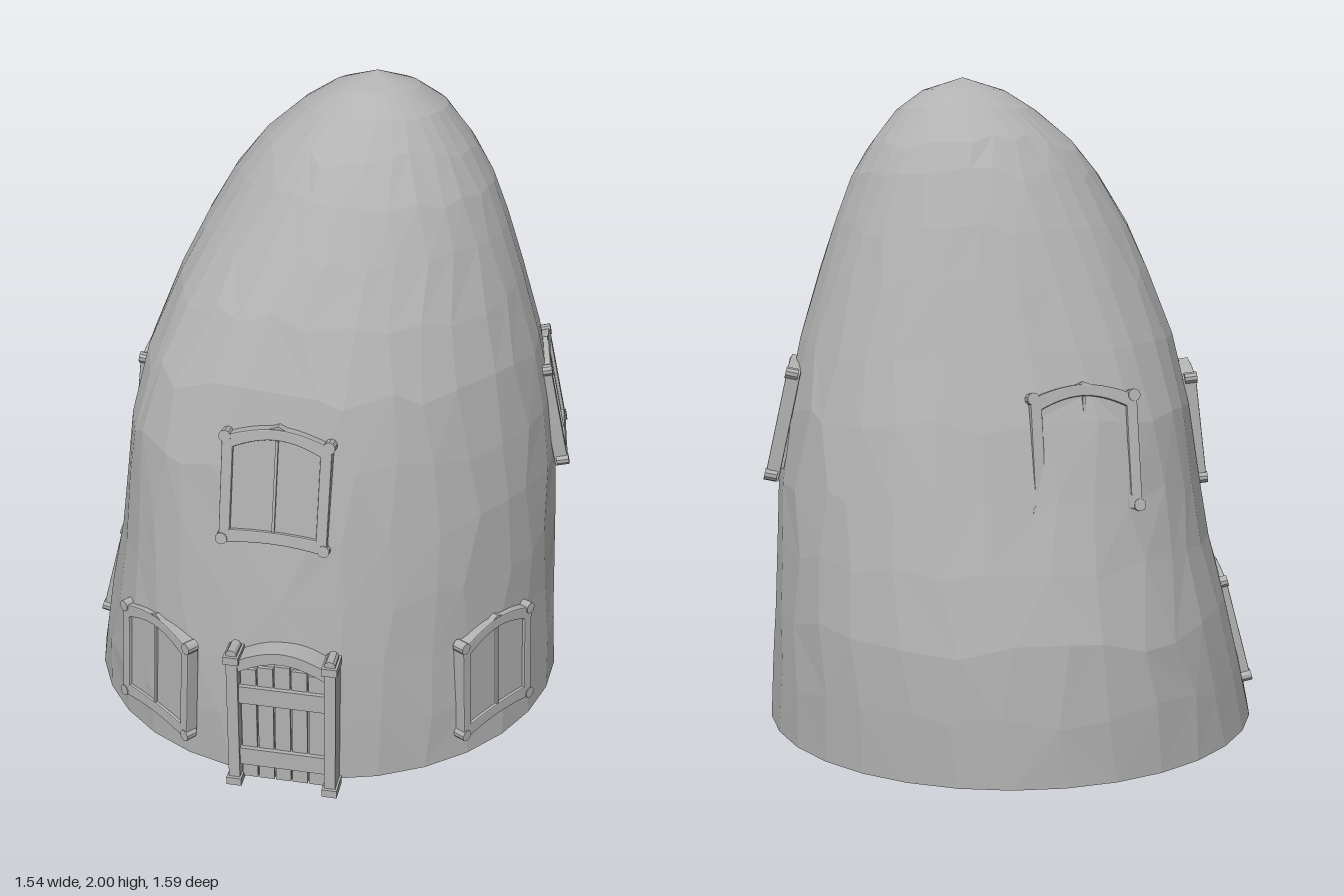
import * as THREE from 'three';

const stone = new THREE.MeshStandardMaterial({ color: 0xb2b2b2, flatShading: true, side: THREE.DoubleSide });
stone.name = 'grey stone';

function mesh(name, geometry, parent, x = 0, y = 0, z = 0) {
  const m = new THREE.Mesh(geometry, stone);
  m.name = name;
  m.position.set(x, y, z);
  parent.add(m);
  return m;
}

const box = (name, parent, w, h, d, x, y, z) => mesh(name, new THREE.BoxGeometry(w, h, d), parent, x, y, z);

function extrude(shape, depth, bevel = 0) {
  return new THREE.ExtrudeGeometry(shape, {
    depth, curveSegments: 8, bevelEnabled: bevel > 0, bevelSize: bevel, bevelThickness: bevel, bevelSegments: 2,
  });
}

// Wall cross-sections: height, right edge, left edge, back edge, front edge
const RINGS = [
  [0.015, -0.77, 0.765, -0.8, 0.738],
  [0.2, -0.73, 0.755, -0.797, 0.735],
  [0.4, -0.68, 0.742, -0.785, 0.72],
  [0.6, -0.625, 0.735, -0.735, 0.698],
  [0.8, -0.59, 0.725, -0.68, 0.67],
  [1.0, -0.56, 0.7, -0.627, 0.64],
  [1.2, -0.515, 0.66, -0.565, 0.6],
  [1.4, -0.44, 0.6, -0.505, 0.522],
  [1.55, -0.37, 0.55, -0.457, 0.447],
  [1.7, -0.28, 0.49, -0.395, 0.365],
  [1.8, -0.2, 0.43, -0.34, 0.295],
  [1.9, -0.08, 0.35, -0.245, 0.2],
  [1.96, 0.015, 0.27, -0.13, 0.12],
  [2.0, 0.145, 0.145, 0, 0],
];

// Extents of the wall at any height
function ringAt(y) {
  let i = 0;
  while (i < RINGS.length - 2 && y > RINGS[i + 1][0]) i++;
  const a = RINGS[i], b = RINGS[i + 1];
  const t = THREE.MathUtils.clamp((y - a[0]) / (b[0] - a[0]), 0, 1);
  return a.map((v, k) => v + (b[k] - v) * t);
}

// Point on the wall; the right side is squarer at mid height, mostly towards the front
function wallPoint(a, y) {
  const [, x0, x1, z0, z1] = ringAt(y);
  const s = Math.sin(a), c = Math.cos(a);
  const bulge = Math.max(0, y < 1.05 ? y / 1.05 : (1.6 - y) / 0.55);
  const square = s < 0 ? (c > 0 ? 1.5 : 0.65) : (c > 0 ? -0.1 : 0.25);
  const power = 2 / (2 + square * bulge);
  return [
    (x0 + x1) / 2 + Math.sign(s) * Math.abs(s) ** power * (x1 - x0) / 2,
    y,
    (z0 + z1) / 2 + Math.sign(c) * Math.abs(c) ** power * (z1 - z0) / 2,
  ];
}

// Leaning dome with irregular facets, open underneath
function wallGeometry() {
  let seed = 7;
  const rand = () => (seed = (seed * 16807) % 2147483647) / 2147483647;
  const N = 32, positions = [], index = [];
  RINGS.forEach((ring, r) => {
    const loose = r > 0 && ring[0] < 1.85;
    for (let i = 0; i < N; i++) {
      const y = ring[0] + (loose ? (rand() - 0.5) * 0.05 : 0);
      const a = (i + (loose ? (rand() - 0.5) * 0.5 : 0)) / N * Math.PI * 2;
      positions.push(...wallPoint(a, y));
    }
  });
  for (let r = 0; r < RINGS.length - 1; r++) {
    for (let i = 0; i < N; i++) {
      const j = (i + 1) % N;
      const a = r * N + i, b = r * N + j, c = a + N, d = b + N;
      if (r === RINGS.length - 2) index.push(a, b, c);
      else if (rand() > 0.5) index.push(a, b, d, a, d, c);
      else index.push(a, b, c, b, d, c);
    }
  }
  const g = new THREE.BufferGeometry();
  g.setAttribute('position', new THREE.Float32BufferAttribute(positions, 3));
  g.setIndex(index);
  g.computeVertexNormals();
  return g;
}

// Arched outline with a bowed lower edge
function archOutline(Type, w, bottom, side, top, sag) {
  const s = new Type();
  s.moveTo(-w, bottom);
  s.quadraticCurveTo(0, bottom + sag, w, bottom);
  s.lineTo(w, side);
  s.quadraticCurveTo(w * 0.45, top, 0, top);
  s.quadraticCurveTo(-w * 0.45, top, -w, side);
  s.closePath();
  return s;
}

// Shuttered window, facing local +z
function createWindow() {
  const g = new THREE.Group();
  const frame = archOutline(THREE.Shape, 0.155, -0.178, 0.142, 0.178, 0.03);
  frame.holes.push(archOutline(THREE.Path, 0.13, -0.14, 0.118, 0.153, 0.012));
  mesh('windowFrame', extrude(frame, 0.034, 0.004), g, 0, 0, -0.022);
  mesh('windowPanes', extrude(archOutline(THREE.Shape, 0.132, -0.145, 0.12, 0.155, 0), 0.04), g, 0, 0, -0.034);
  box('windowMullion', g, 0.008, 0.285, 0.012, 0, 0.005, 0.007);
  // Pointed crest
  const crest = new THREE.Shape();
  crest.moveTo(-0.05, 0.17);
  crest.lineTo(0.05, 0.17);
  crest.lineTo(0, 0.19);
  mesh('windowCrest', extrude(crest, 0.03), g, 0, 0, -0.017);
  for (const s of [-1, 1]) {
    // Scrolls at the top corners and rounded ends of the sill
    for (const [name, y] of [['windowScroll', 0.146], ['sillEnd', -0.167]]) {
      const knob = mesh(name, new THREE.CylinderGeometry(0.018, 0.018, 0.038, 10), g, s * 0.15, y, 0);
      knob.rotation.x = Math.PI / 2;
    }
  }
  return g;
}

// Plank door with posts, rails and an arched lintel, facing +z
function createDoor() {
  const g = new THREE.Group();
  g.name = 'door';
  const cx = 0.017;
  const board = archOutline(THREE.Shape, 0.132, 0.015, 0.415, 0.45, 0);
  mesh('doorBoard', extrude(board, 0.035), g, cx, 0, 0.71);
  for (let i = -2; i <= 2; i++) {
    box('doorPlank', g, 0.046, 0.405 - Math.abs(i) * 0.01, 0.012, cx + i * 0.051, 0.217 - Math.abs(i) * 0.005, 0.75);
  }
  for (const y of [0.095, 0.315]) box('doorRail', g, 0.262, 0.058, 0.066, cx, y, 0.736);
  // Arched lintel
  const lintel = new THREE.Shape();
  lintel.moveTo(-0.135, 0.395);
  lintel.quadraticCurveTo(-0.06, 0.44, 0, 0.44);
  lintel.quadraticCurveTo(0.06, 0.44, 0.135, 0.395);
  lintel.lineTo(0.135, 0.435);
  lintel.quadraticCurveTo(0.06, 0.477, 0, 0.477);
  lintel.quadraticCurveTo(-0.06, 0.477, -0.135, 0.435);
  mesh('doorLintel', extrude(lintel, 0.07), g, cx, 0, 0.705);
  for (const s of [-1, 1]) {
    const x = cx + s * 0.146;
    box('doorPost', g, 0.034, 0.44, 0.075, x, 0.23, 0.742);
    box('postFoot', g, 0.046, 0.025, 0.078, x, 0.0125, 0.75);
    box('postCap', g, 0.046, 0.025, 0.078, x, 0.442, 0.75);
    const knob = mesh('postKnob', new THREE.CylinderGeometry(0.017, 0.017, 0.06, 10), g, x, 0.457, 0.75);
    knob.rotation.x = Math.PI / 2;
  }
  return g;
}

export function createModel() {
  const model = new THREE.Group();
  model.name = 'domeHouse';
  mesh('wall', wallGeometry(), model);
  model.add(createDoor());

  // Windows: name, x, y, z, facing angle, backward lean, sideways roll
  const windows = [
    ['upperFrontWindow', -0.02, 0.947, 0.647, 0, 0.12, -0.03],
    ['lowerFrontRightWindow', -0.402, 0.283, 0.627, -0.61, 0.03, -0.04],
    ['lowerFrontLeftWindow', 0.603, 0.275, 0.415, 0.98, 0.03, 0.03],
    ['upperLeftWindow', 0.7, 0.967, -0.13, 1.66, 0.22, 0.03],
    ['upperRightWindow', -0.573, 0.94, -0.01, -1.57, 0.12, 0],
    ['lowerRightWindow', -0.696, 0.303, -0.026, -1.56, 0.26, 0],
    ['upperBackWindow', -0.21, 0.94, -0.585, Math.PI + 0.28, 0.18, 0],
  ];
  for (const [name, x, y, z, yaw, lean, roll] of windows) {
    const w = createWindow();
    w.name = name;
    w.position.set(x, y, z);
    w.rotation.set(-lean, yaw, roll, 'YXZ');
    model.add(w);
  }
  return model;
}
